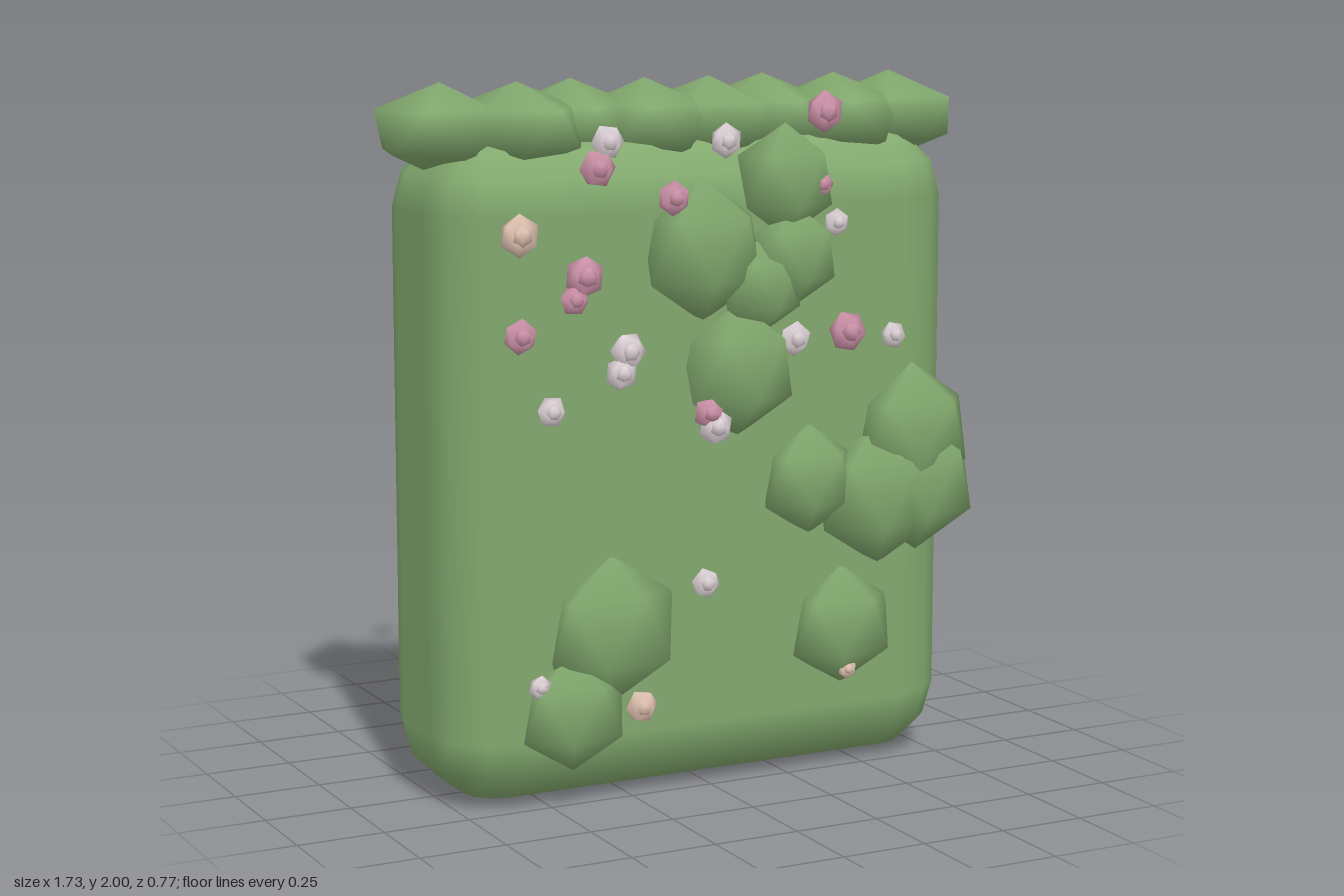
import * as THREE from 'three';

const mat = (name, color) => {
  const m = new THREE.MeshStandardMaterial({ color });
  m.name = name;
  return m;
};

// Smooth-shaded icosahedron with one corner pointing straight up
function leafBall(spin) {
  const g = new THREE.IcosahedronGeometry(1, 0);
  g.rotateZ(-Math.atan(2 / (1 + Math.sqrt(5))));
  g.rotateY(spin);
  g.attributes.normal.copy(g.attributes.position);
  return g;
}

// Box with rounded edges: 30 degree steps per corner, flat faces between the corners
function roundedBlock(w, h, d, r) {
  const g = new THREE.SphereGeometry(1, 16, 9);
  const pos = g.attributes.position, nor = g.attributes.normal;
  const signs = [[1, 1], [-1, 1], [-1, -1], [1, -1]];
  for (let row = 0; row <= 9; row++) {
    const k = THREE.MathUtils.clamp(row, 1, 8) - 1;
    const up = k < 4 ? 1 : -1;
    const tilt = (k < 4 ? k : k - 1) * Math.PI / 6;
    const cap = row === 0 || row === 9;
    for (let col = 0; col <= 16; col++) {
      const q = Math.floor((col % 16) / 4);
      const a = (q * 3 + (col % 4)) * Math.PI / 6;
      const n = cap
        ? new THREE.Vector3(0, up, 0)
        : new THREE.Vector3(Math.sin(tilt) * Math.cos(a), Math.cos(tilt), Math.sin(tilt) * Math.sin(a));
      const i = row * 17 + col;
      const [sx, sz] = cap ? [0, 0] : signs[q];
      pos.setXYZ(i, n.x * r + sx * (w / 2 - r), n.y * r + up * (h / 2 - r), n.z * r + sz * (d / 2 - r));
      nor.setXYZ(i, n.x, n.y, n.z);
    }
  }
  // Columns run the other way round from the sphere, so swap the triangle order
  const idx = g.index.array;
  for (let i = 0; i < idx.length; i += 3) [idx[i], idx[i + 1]] = [idx[i + 1], idx[i]];
  return g;
}

export function createModel() {
  const model = new THREE.Group();
  model.name = 'floweringHedge';
  const leaf = mat('leaf green', 0x82a96e);
  const colors = {
    pink: mat('pink petal', 0xcf93aa),
    white: mat('white petal', 0xdfd3d8),
    peach: mat('peach petal', 0xe2c4b2),
  };
  const add = (parent, name, geo, material, p, s = [1, 1, 1]) => {
    const m = new THREE.Mesh(geo, material);
    m.name = name;
    m.position.set(...p);
    m.scale.set(...s);
    parent.add(m);
  };

  // Hedge body
  add(model, 'hedgeBody', roundedBlock(1.6, 1.85, 0.58, 0.2), leaf, [0, 0.925, 0]);

  // Row of tufts along the top
  const tuftZ = [-0.015, 0.05, -0.03, 0.03, 0.035, -0.015, 0.045, 0.02];
  tuftZ.forEach((z, i) =>
    add(model, 'topTuft', leafBall(i * 0.9 + 0.3), leaf, [-0.7 + i * 0.2, 1.87, z], [0.195, 0.13, 0.235]));

  // Leaf clumps on each face: x, y, radius
  const clumps = {
    front: [
      [-0.33, 0.5, 0.21], [-0.45, 0.28, 0.17], [0.4, 0.435, 0.175], [0.29, 0.87, 0.16],
      [0.52, 0.81, 0.21], [0.63, 0.98, 0.2], [0.65, 0.83, 0.2], [-0.05, 1.54, 0.2],
      [0.21, 1.72, 0.16], [0.23, 1.51, 0.15], [0.06, 1.2, 0.19], [0.13, 1.43, 0.14],
    ],
    back: [
      [0.27, 1.82, 0.155], [-0.18, 1.71, 0.2], [-0.42, 1.33, 0.18], [0.06, 1.34, 0.14],
      [0.54, 1.36, 0.22], [0.62, 1.45, 0.17], [0.63, 1.17, 0.16], [0.52, 1.13, 0.15],
      [0.36, 1.02, 0.16], [0.38, 0.87, 0.13], [0.11, 0.89, 0.18], [-0.13, 0.81, 0.155],
      [0.38, 0.28, 0.15], [-0.56, 0.64, 0.15], [-0.41, 0.36, 0.18],
    ],
  };
  // Blossoms on each face: x, y, radius
  const flowers = {
    front: {
      pink: [[0.31, 1.91, 0.06], [-0.39, 1.78, 0.055], [-0.16, 1.69, 0.05], [0.3, 1.71, 0.04],
        [-0.43, 1.49, 0.06], [-0.46, 1.43, 0.045], [-0.62, 1.34, 0.05], [0.39, 1.29, 0.06], [-0.05, 1.09, 0.05]],
      white: [[0, 1.84, 0.05], [-0.36, 1.85, 0.05], [0.35, 1.6, 0.04], [-0.3, 1.28, 0.055],
        [-0.32, 1.22, 0.05], [-0.53, 1.13, 0.045], [0.22, 1.28, 0.05], [0.54, 1.27, 0.04],
        [-0.03, 1.05, 0.055], [-0.06, 0.61, 0.045], [-0.57, 0.37, 0.035]],
      peach: [[-0.62, 1.61, 0.06], [-0.26, 0.28, 0.05], [0.4, 0.31, 0.03]],
    },
    back: {
      pink: [[0.6, 1.74, 0.04], [-0.16, 1.28, 0.05], [-0.17, 1.23, 0.045], [-0.08, 1, 0.05],
        [0.54, 0.64, 0.045], [0.55, 0.33, 0.045], [-0.48, 1.06, 0.045], [-0.66, 1.07, 0.04],
        [-0.56, 0.5, 0.05], [-0.48, 0.48, 0.035]],
      white: [[0.63, 1.5, 0.04], [0.28, 1.39, 0.045], [0.24, 1.28, 0.035], [-0.08, 1.27, 0.04],
        [0.63, 0.77, 0.04], [0.55, 0.86, 0.04], [0.31, 0.49, 0.045], [0.04, 0.29, 0.04],
        [-0.58, 0.96, 0.055], [-0.45, 0.55, 0.05]],
      peach: [[-0.48, 1.88, 0.045], [-0.55, 1.63, 0.045], [-0.64, 1.61, 0.055], [0.18, 1.02, 0.04], [0.69, 0.5, 0.05]],
    },
  };

  for (const [side, s] of [['front', 1], ['back', -1]]) {
    clumps[side].forEach(([x, y, r], i) =>
      add(model, side + 'LeafClump', leafBall(i * 1.3), leaf, [x, y, s * 0.285], [r, r, 0.06 + r * 0.24]));
    for (const [color, spots] of Object.entries(flowers[side])) {
      spots.forEach(([x, y, r], i) => {
        const flower = new THREE.Group();
        flower.name = side + 'Flower';
        flower.position.set(x, y, s * 0.33);
        flower.rotation.z = i * 0.5;
        add(flower, 'petals', leafBall(i * 0.7), colors[color], [0, 0, 0], [r, r, r * 0.45]);
        add(flower, 'flowerCentre', leafBall(i), colors[color], [0, 0, s * r * 0.32], [r * 0.5, r * 0.5, r * 0.35]);
        model.add(flower);
      });
    }
  }
  return model;
}
